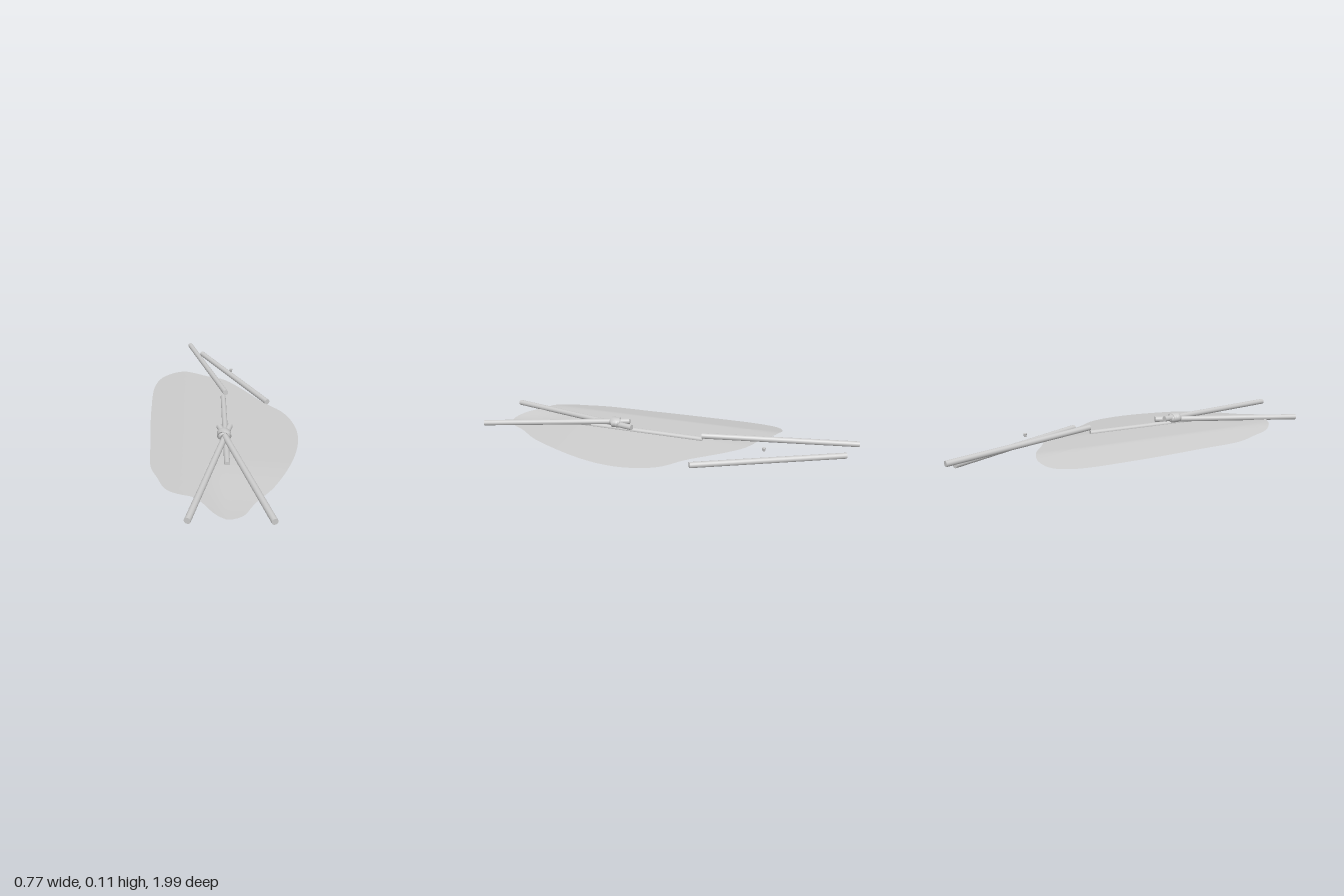
import * as THREE from 'three';

const material = new THREE.MeshStandardMaterial({ color: 0xcccccc });
const thin = new THREE.MeshStandardMaterial({ color: 0xcccccc, side: THREE.DoubleSide });

// Round pole between two points
function pole(name, from, to, r0, r1 = r0) {
  const a = new THREE.Vector3(...from), b = new THREE.Vector3(...to);
  const dir = b.clone().sub(a);
  const mesh = new THREE.Mesh(new THREE.CylinderGeometry(r1, r0, dir.length(), 20), material);
  mesh.name = name;
  mesh.position.copy(a).add(b).multiplyScalar(0.5);
  mesh.quaternion.setFromUnitVectors(new THREE.Vector3(0, 1, 0), dir.normalize());
  return mesh;
}

// Height of the draped sheet: steep left border, flat crown, gentle right slope, dipping front tip
function sheetHeight(x, z) {
  const crown = 0.05;
  const side = x < 0 ? Math.min(crown, 0.013 + 0.2 * (x + 0.39)) : crown - 0.098 * x;
  const dip = 0.028 * THREE.MathUtils.smoothstep(z, 0.45, 0.92) * THREE.MathUtils.smoothstep(x, -0.14, 0);
  return Math.max(0.012, side - dip);
}

// Sheet made of rings shrinking from the outline to the middle
function sheet() {
  const outline = [
    [-0.265, -0.585], [-0.34, -0.55], [-0.38, -0.45], [-0.387, -0.13], [-0.37, 0.24],
    [-0.355, 0.48], [-0.32, 0.585], [-0.275, 0.7], [-0.205, 0.765], [-0.153, 0.785],
    [-0.11, 0.833], [-0.063, 0.89], [-0.005, 0.918], [0.058, 0.89], [0.116, 0.796],
    [0.217, 0.664], [0.323, 0.447], [0.381, 0.214], [0.376, 0.055], [0.33, -0.077],
    [0.233, -0.183], [0.11, -0.357], [0.03, -0.447], [-0.074, -0.5], [-0.18, -0.565],
  ].map(([x, z]) => new THREE.Vector3(x, 0, z));
  const curve = new THREE.CatmullRomCurve3(outline, true);
  const around = 120, rings = 28, cx = -0.02, cz = 0.12;
  const edge = curve.getSpacedPoints(around);
  const positions = [], index = [];
  for (let j = 0; j <= rings; j++) {
    for (let i = 0; i <= around; i++) {
      const t = j / rings, p = edge[i % around];
      const x = cx + (p.x - cx) * t, z = cz + (p.z - cz) * t;
      positions.push(x, sheetHeight(x, z), z);
      if (j < rings && i < around) {
        const a = j * (around + 1) + i, b = a + around + 1;
        if (j > 0) index.push(a, b, a + 1);
        index.push(a + 1, b, b + 1);
      }
    }
  }
  const geometry = new THREE.BufferGeometry();
  geometry.setAttribute('position', new THREE.Float32BufferAttribute(positions, 3));
  geometry.setIndex(index);
  geometry.computeVertexNormals();
  const mesh = new THREE.Mesh(geometry, thin);
  mesh.name = 'sheet';
  return mesh;
}

// Two flattened bands lashing the crossed poles together
function lashing() {
  const group = new THREE.Group();
  group.name = 'lashing';
  const profile = [[0.022, -0.024], [0.031, -0.024], [0.033, 0], [0.031, 0.024], [0.022, 0.024], [0.022, -0.024]]
    .map(([r, y]) => new THREE.Vector2(r, y));
  for (const s of [-1, 1]) {
    const band = new THREE.Mesh(new THREE.LatheGeometry(profile, 24), thin);
    band.name = 'lashingBand';
    band.geometry.rotateX(Math.PI / 2);
    band.geometry.scale(1, 0.78, 1);
    band.rotation.set(0.12 * s, 0.26 * s, 0);
    band.position.set(0, 0.082, 0.283);
    group.add(band);
  }
  return group;
}

export function createModel() {
  const model = new THREE.Group();
  model.name = 'shelterParts';
  model.add(
    sheet(),
    pole('ridgePole', [0.006, 0.051, 0.52], [0.012, 0.052, -0.21], 0.014),
    // Crossed poles at the front
    pole('frontLeftPole', [0.184, 0.058, 0.99], [-0.022, 0.088, 0.21], 0.015),
    pole('frontRightPole', [-0.176, 0.053, 0.965], [0.033, 0.076, 0.18], 0.015),
    lashing(),
    // Loose poles at the back
    pole('backRightPole', [-0.177, 0.054, -0.995], [0.026, 0.078, -0.208], 0.015),
    pole('backLeftPole', [-0.1, 0.0155, -0.94], [0.26, 0.0155, -0.21], 0.0155),
    pole('peg', [0.07, 0.058, -0.545], [0.07, 0.075, -0.545], 0.006, 0.01),
  );
  return model;
}
